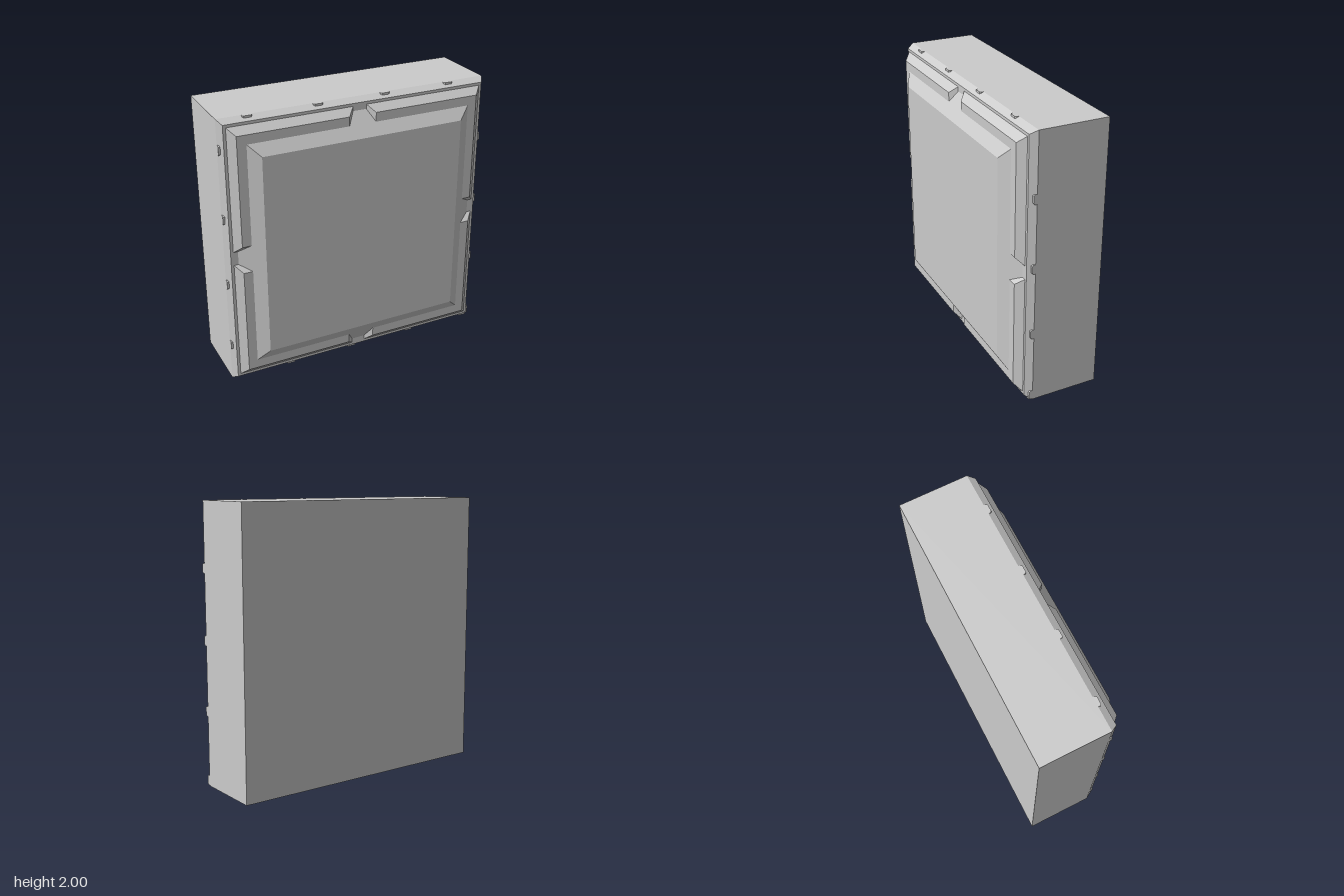
import * as THREE from 'three';

const material = new THREE.MeshStandardMaterial({ color: 0xcccccc, flatShading: true });

function addMesh(parent, name, geometry, x = 0, y = 0, z = 0) {
  const mesh = new THREE.Mesh(geometry, material);
  mesh.name = name;
  mesh.position.set(x, y, z);
  parent.add(mesh);
  return mesh;
}

// Square frustum facing +z, given its half widths at the back and the front
function frustum(backHalf, frontHalf, z0, z1) {
  const g = new THREE.CylinderGeometry(
    frontHalf * Math.SQRT2, backHalf * Math.SQRT2, z1 - z0, 4, 1, false, Math.PI / 4);
  return g.rotateX(Math.PI / 2).translate(0, 0, (z0 + z1) / 2);
}

// Small tab bridging the bevel of the top edge, with clipped front corners
function tabGeometry() {
  const shape = new THREE.Shape([
    [-0.035, 0.17], [0.035, 0.17], [0.035, 0.19], [0.026, 0.2], [-0.026, 0.2], [-0.035, 0.19],
  ].map(([x, y]) => new THREE.Vector2(x, y)));
  return new THREE.ExtrudeGeometry(shape, { depth: 0.018, bevelEnabled: false })
    .rotateX(Math.PI / 2).translate(0, 1, 0);
}

export function createModel() {
  const model = new THREE.Group();
  model.name = 'panelBlock';

  // Main block and its bevelled front rim
  addMesh(model, 'body', new THREE.BoxGeometry(2, 2, 0.5), 0, 1, -0.075);
  addMesh(model, 'bevelledRim', frustum(1, 0.97, 0.175, 0.225), 0, 1);

  // Four quarter plates, with a tapered groove between neighbours
  const quarter = frustum(0.45, 0.4, 0.225, 0.275);
  for (const sx of [-1, 1]) {
    for (const sy of [-1, 1]) addMesh(model, 'quarterPlate', quarter, sx * 0.5, 1 + sy * 0.5);
  }

  // Raised centre plate over the quarter plates
  addMesh(model, 'centrePlate', frustum(0.917, 0.75, 0.225, 0.325), 0, 1);

  // Four tabs along each edge, offset differently on every side
  const tab = tabGeometry();
  const edges = [
    ['topTabs', 0, -0.79],
    ['leftTabs', -Math.PI / 2, -0.54],
    ['bottomTabs', Math.PI, -0.96],
    ['rightTabs', Math.PI / 2, -0.71],
  ];
  for (const [name, angle, start] of edges) {
    const edge = new THREE.Group();
    edge.name = name;
    edge.position.y = 1;
    edge.rotation.z = angle;
    for (let i = 0; i < 4; i++) addMesh(edge, 'tab', tab, start + i * 0.5);
    model.add(edge);
  }
  return model;
}
